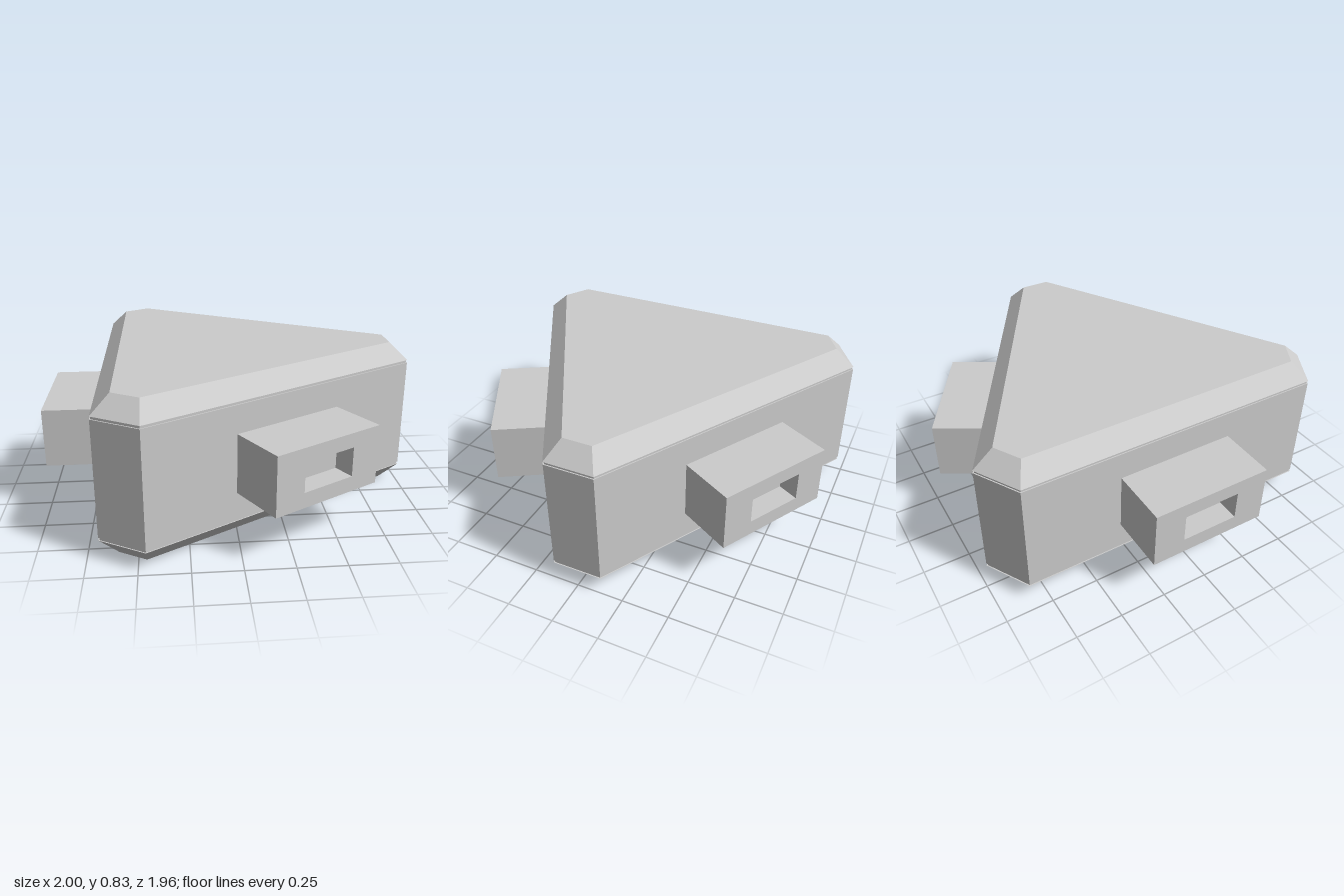
import * as THREE from 'three';

const INRADIUS = 0.64;   // centre to long wall
const CORNER = 1.05;     // centre to cut-off corner
const ARM_REACH = 0.948; // centre to socket face
const CENTRE_X = -0.05;

const material = () => new THREE.MeshStandardMaterial({ color: 0xcccccc, flatShading: true });

// Triangle with cut corners, every side moved inwards by `inset`
function ring(inset, y) {
  const r = INRADIUS - inset, d = CORNER - inset;
  const w = (2 * r - d) / Math.sqrt(3);
  const points = [];
  for (let k = 0; k < 3; k++) {
    const a = (k * 2 * Math.PI) / 3, c = Math.cos(a), s = Math.sin(a);
    for (const t of [-w, w]) points.push([d * c - t * s, y, d * s + t * c]);
  }
  return points;
}

// Closed solid through a stack of rings, from bottom to top
function loft(profile) {
  const rings = profile.map(([inset, y]) => ring(inset, y));
  const pos = [];
  const tri = (...corners) => corners.forEach((p) => pos.push(...p));
  const n = rings[0].length, last = rings.length - 1;
  for (let j = 0; j < n; j++) {
    const k = (j + 1) % n;
    for (let i = 0; i < last; i++) {
      const lo = rings[i], hi = rings[i + 1];
      tri(lo[j], hi[j], hi[k]);
      tri(lo[j], hi[k], lo[k]);
    }
    tri([0, profile[0][1], 0], rings[0][j], rings[0][k]);
    tri([0, profile[last][1], 0], rings[last][k], rings[last][j]);
  }
  const geometry = new THREE.BufferGeometry();
  geometry.setAttribute('position', new THREE.Float32BufferAttribute(pos, 3));
  geometry.computeVertexNormals();
  return geometry;
}

function rectangle(path, halfW, y0, y1) {
  path.moveTo(-halfW, y0);
  path.lineTo(halfW, y0);
  path.lineTo(halfW, y1);
  path.lineTo(-halfW, y1);
  path.closePath();
  return path;
}

// Block sticking out of a wall along +z, with a blind rectangular recess
function makeSocket() {
  const socket = new THREE.Group();
  const start = INRADIUS - 0.04, floorZ = ARM_REACH - 0.117;

  const shape = rectangle(new THREE.Shape(), 0.3225, 0.262, 0.578);
  shape.holes.push(rectangle(new THREE.Path(), 0.153, 0.344, 0.5));
  const block = new THREE.Mesh(
    new THREE.ExtrudeGeometry(shape, { depth: ARM_REACH - start, bevelEnabled: false }), material());
  block.position.z = start;
  block.name = 'socketBlock';

  const floor = new THREE.Mesh(new THREE.BoxGeometry(0.306, 0.156, floorZ - start), material());
  floor.position.set(0, 0.422, (start + floorZ) / 2);
  floor.name = 'recessFloor';

  socket.add(block, floor);
  return socket;
}

export function createModel() {
  const model = new THREE.Group();
  model.name = 'triangularHub';
  const hub = new THREE.Group();
  hub.name = 'hub';
  hub.position.x = CENTRE_X;
  model.add(hub);

  // Chamfered body with a thin seam below the top and above the bottom
  const body = new THREE.Mesh(loft([
    [0.093, 0], [0, 0.103], [0.006, 0.103], [0.006, 0.118], [0, 0.118],
    [0, 0.728], [0.006, 0.728], [0.006, 0.743], [0, 0.743], [0.093, 0.835],
  ]), material());
  body.name = 'body';
  hub.add(body);

  // One socket on each long wall
  ['frontSocket', 'sideSocket', 'backSocket'].forEach((name, i) => {
    const socket = makeSocket();
    socket.name = name;
    socket.rotation.y = Math.PI / 2 - (Math.PI / 3 + (i * 2 * Math.PI) / 3);
    hub.add(socket);
  });

  return model;
}
